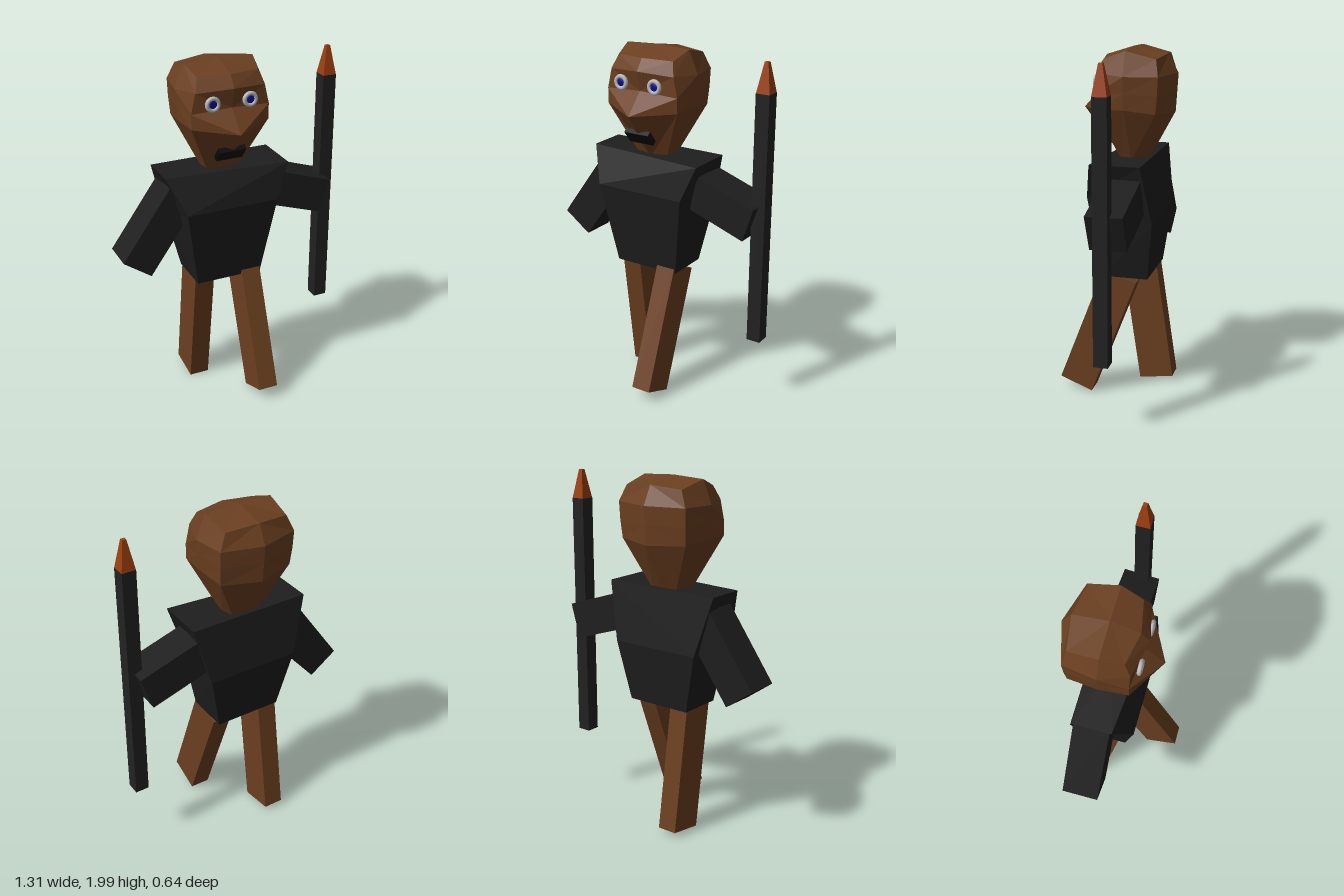
import * as THREE from 'three';

const mat = (color, flatShading = true) => new THREE.MeshStandardMaterial({ color, flatShading });
const skin = mat(0x6b3f20), cloth = mat(0x1e1e1e), wood = mat(0x222222);
const flame = mat(0x9c3f10), dark = mat(0x0a0a0a), white = mat(0xb8b8b8, false), blue = mat(0x0a0a90, false);

// Skin over rings of points (front, left, back, right), lowest first, closed at both ends
function loft(rings, topCentre) {
  const n = rings[0].length, pos = [];
  const centre = r => [0, 1, 2].map(k => r.reduce((s, p) => s + p[k], 0) / n);
  const top = rings[rings.length - 1], low = centre(rings[0]), high = topCentre || centre(top);
  for (let i = 0; i < n; i++) {
    const j = (i + 1) % n;
    for (let r = 0; r + 1 < rings.length; r++) {
      const [a, b, c, d] = [rings[r][i], rings[r][j], rings[r + 1][i], rings[r + 1][j]];
      if (i < n / 2) pos.push(...a, ...b, ...d, ...a, ...d, ...c);
      else pos.push(...a, ...b, ...c, ...b, ...d, ...c);
    }
    pos.push(...low, ...rings[0][j], ...rings[0][i], ...high, ...top[i], ...top[j]);
  }
  const g = new THREE.BufferGeometry();
  g.setAttribute('position', new THREE.Float32BufferAttribute(pos, 3));
  g.computeVertexNormals();
  return g;
}

export function createModel() {
  const model = new THREE.Group();
  model.name = 'figure';
  const add = (name, geometry, material, position = [0, 0, 0], rotation = [0, 0, 0]) => {
    const m = new THREE.Mesh(geometry, material);
    m.name = name;
    m.position.set(...position);
    m.rotation.set(...rotation);
    model.add(m);
    return m;
  };
  const box = (w, h, d) => new THREE.BoxGeometry(w, h, d);

  // Torso: four-sided, wide at the shoulders, deepest at the chest
  add('torso', loft([
    [[-0.24, 0.73, 0.055], [0.15, 0.73, 0.055], [0.15, 0.73, -0.2], [-0.24, 0.73, -0.2]],
    [[-0.32, 1.2, 0.125], [0.22, 1.2, 0.125], [0.22, 1.07, -0.24], [-0.32, 1.07, -0.24]],
    [[-0.41, 1.4, 0.03], [0.3, 1.4, 0.09], [0.3, 1.4, -0.19], [-0.41, 1.4, -0.19]],
  ]), cloth);

  // Head: half rings (front to back) mirrored about the face line
  const cx = -0.05;
  const mirrorRing = half => [...half, ...half.slice(1, -1).reverse().map(([x, y, z]) => [-x, y, z])]
    .map(([x, y, z]) => [x + cx, y, z]);
  add('head', loft([
    [[0, 1.38, 0], [0.09, 1.38, -0.02], [0.1, 1.38, -0.08], [0.08, 1.38, -0.15], [0, 1.38, -0.16]],
    [[0, 1.655, 0.215], [0.225, 1.675, 0.085], [0.238, 1.68, -0.07], [0.215, 1.66, -0.24], [0, 1.65, -0.305]],
    [[0, 1.775, 0.105], [0.225, 1.76, 0.085], [0.247, 1.77, -0.07], [0.222, 1.76, -0.25], [0, 1.76, -0.312]],
    [[0, 1.885, 0.132], [0.2, 1.87, 0.085], [0.255, 1.86, -0.07], [0.225, 1.86, -0.255], [0, 1.86, -0.318]],
    [[0, 1.95, 0.085], [0.175, 1.945, 0.05], [0.2, 1.99, -0.07], [0.185, 1.95, -0.235], [0, 1.965, -0.263]],
  ].map(mirrorRing), [cx, 2, -0.07]), skin);

  // Eyes: pale rim round a blue pupil
  for (const [side, x] of [['right', -0.165], ['left', 0.05]]) {
    add(side + 'EyeRim', new THREE.TorusGeometry(0.032, 0.012, 10, 28), white, [x, 1.81, 0.115]);
    add(side + 'Pupil', new THREE.SphereGeometry(0.026, 20, 12), blue, [x, 1.81, 0.115]).scale.z = 0.35;
  }

  // Mouth lies on the slope between nose and chin
  add('mouth', box(0.155, 0.085, 0.03), dark, [-0.057, 1.517, 0.096], [0.68, 0, 0]);

  // Arms
  add('rightArm', box(0.195, 0.5, 0.2), cloth, [-0.435, 1.078, -0.09], [0, 0, -0.62]);
  add('leftArm', box(0.44, 0.205, 0.205), cloth, [0.377, 1.178, -0.09], [0.03, -0.03, -0.32]);

  // Legs, one stepping forward and one back
  add('leftLeg', box(0.115, 0.735, 0.2), skin, [0.0875, 0.39, 0.0925], [-0.365, 0, 0]);
  add('rightLeg', box(0.115, 0.74, 0.2), skin, [-0.18, 0.387, -0.14], [0.15, 0, 0]);

  // Staff with a tapered tip
  add('staff', box(0.08, 1.42, 0.08), wood, [0.615, 1.11, -0.075]);
  const tip = new THREE.CylinderGeometry(0.011 * Math.SQRT2, 0.04 * Math.SQRT2, 0.165, 4);
  add('staffTip', tip.rotateY(Math.PI / 4), flame, [0.615, 1.9, -0.075]);

  return model;
}
